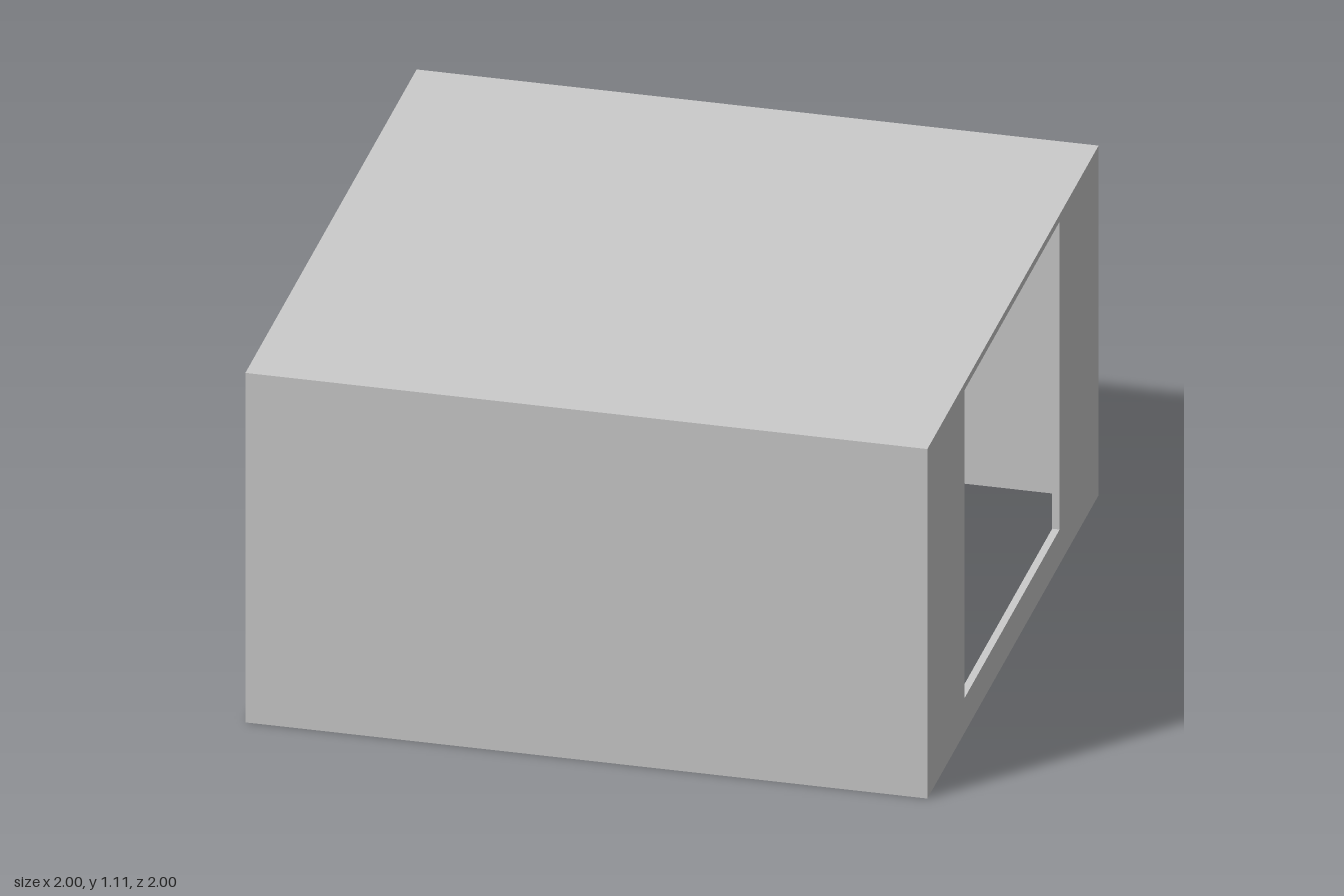
import * as THREE from 'three';

const T = 0.022;          // wall and roof thickness
const H = 1.11;           // overall height
const WALL = H - T;       // wall height below the roof slab
const SILL = 0.11;

const material = new THREE.MeshStandardMaterial({ color: 0xcccccc, flatShading: true });

function box(name, w, h, d, x, y, z) {
  const mesh = new THREE.Mesh(new THREE.BoxGeometry(w, h, d), material);
  mesh.name = name;
  mesh.position.set(x, y, z);
  return mesh;
}

const outline = (points) => points.map(([z, y]) => new THREE.Vector2(-z, y));

// Wall drawn in (z, y) and extruded along x, starting at x
function sideWall(name, x, points, windows = []) {
  const shape = new THREE.Shape(outline(points));
  for (const [z0, z1, y0, y1] of windows) {
    shape.holes.push(new THREE.Path(outline([[z0, y0], [z0, y1], [z1, y1], [z1, y0]])));
  }
  const geometry = new THREE.ExtrudeGeometry(shape, { depth: T, bevelEnabled: false });
  geometry.rotateY(Math.PI / 2);
  const mesh = new THREE.Mesh(geometry, material);
  mesh.name = name;
  mesh.position.x = x;
  return mesh;
}

export function createModel() {
  const group = new THREE.Group();
  group.name = 'room';

  // Roof slab resting on the walls; the floor is open
  group.add(box('roof', 2, T, 2, 0, H - T / 2, 0));

  // Solid front and back walls
  group.add(box('frontWall', 2, WALL, T, 0, WALL / 2, 1 - T / 2));
  group.add(box('backWall', 2, WALL, T, 0, WALL / 2, -1 + T / 2));

  const e = 1 - T;

  // Wall with one large opening reaching up to the roof
  group.add(sideWall('openingWall', 1 - T, [
    [e, 0], [-e, 0], [-e, WALL], [-0.545, WALL],
    [-0.545, SILL], [0.565, SILL], [0.565, WALL], [e, WALL],
  ]));

  // Opposite wall with two windows
  group.add(sideWall('windowWall', -1,
    [[e, 0], [-e, 0], [-e, WALL], [e, WALL]],
    [[0, 0.72, SILL, 0.775], [-0.785, -0.112, SILL, 0.775]]));

  return group;
}
